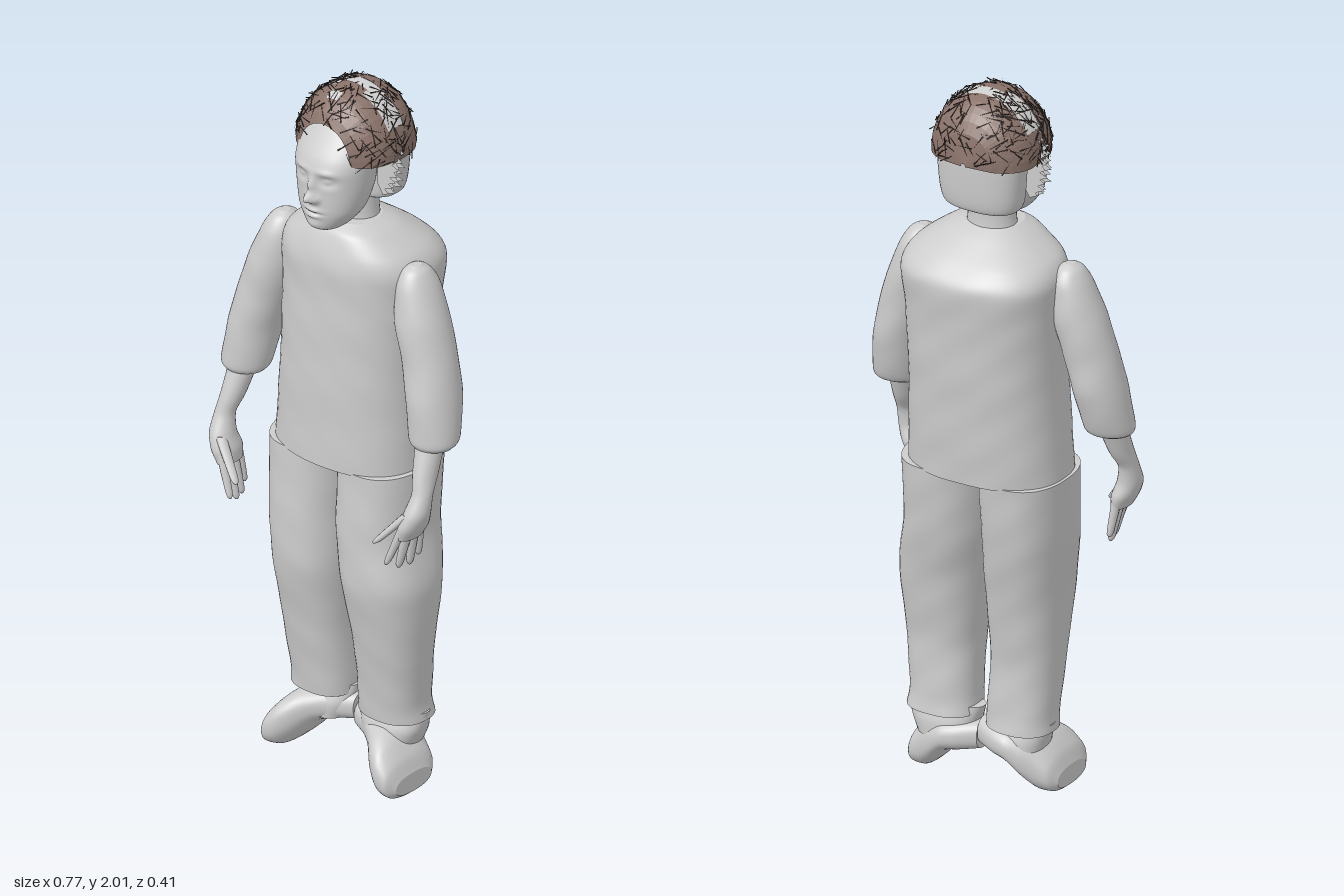
import * as THREE from 'three';
import { mergeGeometries } from 'three/addons/utils/BufferGeometryUtils.js';

const V = (x, y, z) => new THREE.Vector3(x, y, z);

// Smooth body through horizontal sections [y, x0, x1, z0, z1], listed bottom to top.
function loft(sections, { rows = 40, sides = 40, power = 2, warp = null } = {}) {
  const a = new THREE.CatmullRomCurve3(sections.map(s => V(s[1], s[0], s[3])), false, 'catmullrom', 0.4);
  const b = new THREE.CatmullRomCurve3(sections.map(s => V(s[2], s[0], s[4])), false, 'catmullrom', 0.4);
  const pos = [], idx = [];
  const round = t => Math.sign(t) * Math.pow(Math.abs(t), 2 / power);
  for (let i = 0; i <= rows; i++) {
    const p = a.getPoint(i / rows), q = b.getPoint(i / rows);
    for (let j = 0; j < sides; j++) {
      const t = (j / sides) * Math.PI * 2;
      const v = V((p.x + q.x) / 2 + round(Math.cos(t)) * (q.x - p.x) / 2, p.y,
        (p.z + q.z) / 2 + round(Math.sin(t)) * (q.z - p.z) / 2);
      if (warp) warp(v);
      pos.push(v.x, v.y, v.z);
    }
  }
  for (let i = 0; i < rows; i++) for (let j = 0; j < sides; j++) {
    const k = (j + 1) % sides, lo = i * sides, hi = lo + sides;
    idx.push(lo + j, hi + j, lo + k, hi + j, hi + k, lo + k);
  }
  // Caps have their own corners so the rims stay sharp.
  for (const row of [0, rows]) {
    const start = pos.length / 3, c = V(0, 0, 0);
    for (let j = 0; j < sides; j++) {
      const o = (row * sides + j) * 3;
      pos.push(pos[o], pos[o + 1], pos[o + 2]);
      c.add(V(pos[o], pos[o + 1], pos[o + 2]));
    }
    c.divideScalar(sides);
    pos.push(c.x, c.y, c.z);
    for (let j = 0; j < sides; j++) {
      const k = (j + 1) % sides;
      idx.push(start + sides, start + (row ? k : j), start + (row ? j : k));
    }
  }
  const g = new THREE.BufferGeometry();
  g.setAttribute('position', new THREE.Float32BufferAttribute(pos, 3));
  g.setIndex(idx);
  g.computeVertexNormals();
  return g;
}

// Gentle cloth folds
const folds = v => { v.z += 0.0015 * Math.sin(v.y * 42 + v.x * 17) * Math.sin(v.x * 23 + v.y * 9); };

// Facial relief, as soft bumps [x, y, width, height, depth] on the front of the head
const relief = [
  [0, 1.727, 0.015, 0.015, 0.033], [0, 1.76, 0.012, 0.026, 0.016],
  [0.017, 1.722, 0.008, 0.009, 0.009], [-0.017, 1.722, 0.008, 0.009, 0.009],
  [0.042, 1.778, 0.024, 0.014, -0.012], [-0.042, 1.778, 0.024, 0.014, -0.012],
  [0.042, 1.778, 0.013, 0.007, 0.008], [-0.042, 1.778, 0.013, 0.007, 0.008],
  [0.04, 1.803, 0.028, 0.009, 0.004], [-0.04, 1.803, 0.028, 0.009, 0.004],
  [0, 1.689, 0.024, 0.006, 0.008], [0, 1.671, 0.021, 0.006, 0.008],
  [0, 1.680, 0.028, 0.003, -0.005], [0, 1.643, 0.022, 0.014, 0.006],
];
function sculpt(v) {
  if (v.z < 0.07) return;
  for (const [x, y, w, h, k] of relief) v.z += k * Math.exp(-(((v.x - x) / w) ** 2) - ((v.y - y) / h) ** 2);
}

// Hair shell: a boxy ellipsoid cut into bands along z
const HAIR = { x: 0.15, y: 0.165, z: 0.142, cx: 0.004, cy: 1.828, cz: -0.003 };
function hairPoint(z, t, grow = 1) {
  const r = Math.sqrt(Math.max(0, 1 - Math.abs((z - HAIR.cz) / HAIR.z) ** 2.8)) * grow;
  return V(HAIR.cx + HAIR.x * r * Math.cos(t), HAIR.cy + HAIR.y * r * Math.sin(t), z);
}
function hairBand(z0, z1, t0, t1, grow = 1) {
  const g = new THREE.PlaneGeometry(1, 1, 20, 7), p = g.attributes.position;
  for (let i = 0; i < p.count; i++) {
    const v = hairPoint(z0 + (0.5 - p.getY(i)) * (z1 - z0), t1 - (p.getX(i) + 0.5) * (t1 - t0), grow);
    p.setXYZ(i, v.x, v.y, v.z);
  }
  g.computeVertexNormals();
  return g;
}

export function createModel() {
  const model = new THREE.Group();
  const mat = (name, color, extra = {}) => Object.assign(new THREE.MeshStandardMaterial({ color, ...extra }), { name });
  const grey = mat('body grey', 0xcccccc, { side: THREE.DoubleSide });
  const pale = mat('pale crown', 0xd2d2d2, { side: THREE.DoubleSide });
  const brown = mat('hair brown', 0x8a736b, { side: THREE.DoubleSide, flatShading: true });
  const dark = mat('strand dark brown', 0x42352f);
  const add = (name, geometry, material = grey) => {
    const m = new THREE.Mesh(geometry, material);
    m.name = name;
    model.add(m);
  };

  // Shirt
  add('shirt', loft([
    [0.93, -0.22, 0.222, -0.17, 0.155], [1.2, -0.207, 0.212, -0.188, 0.15], [1.4, -0.21, 0.218, -0.2, 0.142],
    [1.5, -0.215, 0.225, -0.208, 0.14], [1.55, -0.19, 0.2, -0.17, 0.13], [1.6, -0.115, 0.13, -0.1, 0.11],
    [1.622, -0.075, 0.08, -0.06, 0.08]], { rows: 60, sides: 56, power: 2.4, warp: folds }));

  // Trouser legs
  add('rightLeg', loft([
    [0.195, -0.182, 0.005, -0.085, 0.085], [0.25, -0.18, 0.005, -0.078, 0.092], [0.4, -0.19, 0.0, -0.075, 0.115],
    [0.6, -0.205, 0.008, -0.105, 0.152], [0.75, -0.22, 0.003, -0.135, 0.15], [0.935, -0.228, 0.003, -0.155, 0.14]],
  { power: 2.4, warp: folds }));
  add('leftLeg', loft([
    [0.195, 0.045, 0.245, -0.085, 0.085], [0.25, 0.05, 0.24, -0.078, 0.092], [0.4, 0.05, 0.255, -0.075, 0.115],
    [0.6, 0.025, 0.27, -0.105, 0.152], [0.75, 0.006, 0.24, -0.135, 0.15], [0.935, 0.003, 0.235, -0.155, 0.14]],
  { power: 2.4, warp: folds }));

  // Shoes, lofted sideways from the raised inner heel to the lowered outer toe
  const shoe = [
    [-0.022, 0.12, 0.195, -0.045, 0.03], [0.03, 0.108, 0.195, -0.07, 0.055], [0.075, 0.095, 0.192, -0.08, 0.09],
    [0.115, 0.05, 0.185, -0.07, 0.13], [0.15, 0.02, 0.165, -0.055, 0.152], [0.185, 0.018, 0.125, -0.04, 0.152],
    [0.203, 0.03, 0.085, -0.015, 0.125]];
  add('rightShoe', loft(shoe, { power: 2.4 }).rotateZ(Math.PI / 2));
  add('leftShoe', loft(shoe.map(([d, a, b, c, e]) => [d + 0.047, 0.018 - b, 0.018 - a, c, e]), { power: 2.4 }).rotateZ(-Math.PI / 2));
  for (const [name, x0, x1] of [['rightAnkle', -0.183, 0.015], ['leftAnkle', 0.025, 0.247]]) {
    add(name, loft([[0.12, x0 + 0.03, x1 - 0.03, -0.065, 0.07], [0.165, x0 + 0.018, x1 - 0.01, -0.062, 0.065],
      [0.218, x0, x1, -0.045, 0.04]], { rows: 12, power: 2.4 }));
  }

  // Arms: sleeve, forearm with palm, fingers
  for (const [side, s] of [['left', 1], ['right', -1]]) {
    const flip = list => s > 0 ? list : list.map(([y, a, b, c, d]) => [y, -b, -a, c, d]);
    add(side + 'Sleeve', loft(flip([
      [1.068, 0.262, 0.375, 0.01, 0.112], [1.09, 0.25, 0.385, -0.015, 0.12], [1.2, 0.232, 0.372, -0.045, 0.115],
      [1.3, 0.205, 0.35, -0.05, 0.102], [1.4, 0.178, 0.32, -0.056, 0.096], [1.49, 0.175, 0.282, -0.048, 0.076],
      [1.53, 0.19, 0.258, -0.025, 0.055], [1.545, 0.21, 0.236, 0, 0.03]]), { warp: folds }));
    add(side + 'ForearmAndPalm', loft(flip([
      [0.825, 0.283, 0.33, 0.09, 0.18], [0.86, 0.285, 0.35, 0.085, 0.185], [0.9, 0.298, 0.363, 0.095, 0.175],
      [0.95, 0.308, 0.362, 0.09, 0.15], [1.0, 0.295, 0.358, 0.06, 0.135], [1.1, 0.275, 0.355, 0.02, 0.1]]),
    { rows: 28, sides: 24 }));
    const digits = [ // base x, y, z, tip x, y, z, radius
      [0.31, 0.85, 0.102, 0.295, 0.745, 0.09, 0.012], [0.31, 0.85, 0.123, 0.285, 0.722, 0.113, 0.013],
      [0.31, 0.85, 0.146, 0.275, 0.722, 0.145, 0.013], [0.31, 0.86, 0.168, 0.265, 0.742, 0.182, 0.012],
      [0.32, 0.90, 0.158, 0.235, 0.80, 0.194, 0.014]];
    digits.forEach(([bx, by, bz, tx, ty, tz, r], i) => {
      const ring = (t, k) => {
        const x = tx + (bx - tx) * t, z = tz + (bz - tz) * t;
        return [ty + (by - ty) * t, x - r * k, x + r * k, z - r * k, z + r * k];
      };
      add(side + (i === 4 ? 'Thumb' : 'Finger' + (i + 1)),
        loft(flip([ring(0, 0.3), ring(0.1, 0.75), ring(0.5, 0.95), ring(1, 1.1)]), { rows: 10, sides: 10 }));
    });
  }

  // Neck, face and back of the head
  add('neck', loft([[1.58, -0.075, 0.075, -0.07, 0.06], [1.64, -0.065, 0.067, -0.06, 0.05], [1.74, -0.065, 0.067, -0.06, 0.05]], { rows: 10 }));
  add('face', loft([
    [1.618, -0.025, 0.025, 0.07, 0.135], [1.635, -0.052, 0.052, 0.03, 0.158], [1.68, -0.085, 0.085, 0, 0.166],
    [1.74, -0.102, 0.102, -0.02, 0.165], [1.8, -0.108, 0.108, -0.03, 0.167], [1.835, -0.108, 0.108, -0.03, 0.154],
    [1.88, -0.1, 0.1, -0.03, 0.122], [1.92, -0.08, 0.08, -0.03, 0.09], [1.95, -0.05, 0.05, -0.02, 0.05]],
  { rows: 110, sides: 120, power: 2.2, warp: sculpt }));
  add('backOfHead', loft([
    [1.675, -0.075, 0.08, -0.09, 0.01], [1.69, -0.105, 0.11, -0.112, 0.02], [1.74, -0.116, 0.122, -0.12, 0.022],
    [1.85, -0.122, 0.128, -0.122, 0.022], [1.91, -0.105, 0.11, -0.1, 0.022], [1.95, -0.07, 0.07, -0.07, 0.02]],
  { power: 2.5 }));

  // Hair cap, open over the forehead, with a pale strip across the crown
  const top = Math.PI / 2, edge = 0.5;
  add('hairBack', hairBand(-0.1449, -0.038, -0.06, Math.PI + 0.06), brown);
  add('hairFront', hairBand(0.022, 0.121, -0.03, Math.PI + 0.03), brown);
  add('hairLeftSide', hairBand(-0.038, 0.022, -0.05, edge), brown);
  add('hairRightSide', hairBand(-0.038, 0.022, Math.PI - edge, Math.PI + 0.05), brown);
  add('crownStrip', hairBand(-0.038, 0.022, edge, Math.PI - edge, 0.995), pale);
  add('hairTuft', hairBand(0.0, 0.03, top - 0.28, top + 0.28, 1.006), brown);
  add('crownPatch', hairBand(0.052, 0.078, top - 0.02, top + 0.24, 1.006), pale);

  // Loose strands lying over the hair
  let seed = 7;
  const rnd = () => (seed = (seed * 16807) % 2147483647) / 2147483647;
  const strands = [];
  for (let i = 0; i < 300; i++) {
    const z = -0.14 + rnd() * 0.262, t = rnd() * Math.PI;
    const p = hairPoint(z, t, 1.008);
    const n = V((p.x - HAIR.cx) / HAIR.x ** 2, (p.y - HAIR.cy) / HAIR.y ** 2, (p.z - HAIR.cz) / HAIR.z ** 2).normalize();
    const dir = V(rnd() - 0.5, rnd() - 0.5, rnd() - 0.5).cross(n).normalize().addScaledVector(n, (rnd() - 0.5) * 0.3).normalize();
    const g = new THREE.ConeGeometry(0.0019, 0.035 + rnd() * 0.035, 3);
    g.applyQuaternion(new THREE.Quaternion().setFromUnitVectors(V(0, 1, 0), dir)).translate(p.x, Math.min(p.y, 1.988), p.z);
    strands.push(g);
  }
  add('hairStrands', mergeGeometries(strands), dark);

  // Ragged wisps beside the temples
  for (const [name, s] of [['leftWisps', 1], ['rightWisps', -1]]) {
    const cards = [];
    for (let c = 0; c < 3; c++) {
      const shape = new THREE.Shape();
      shape.moveTo(0.095, 1.91 - c * 0.02);
      for (let i = 0; i <= 20; i++) {
        const f = i / 20;
        shape.lineTo(0.125 + 0.03 * Math.sin(f * Math.PI) + (i % 2 ? 0.02 : -0.016) * rnd(), 1.91 - f * 0.2);
      }
      shape.lineTo(0.095, 1.74);
      const g = new THREE.ShapeGeometry(shape);
      if (s < 0) g.scale(-1, 1, 1);
      cards.push(g.translate(0, 0, -0.005 + c * 0.012));
    }
    add(name, mergeGeometries(cards));
  }
  return model;
}
